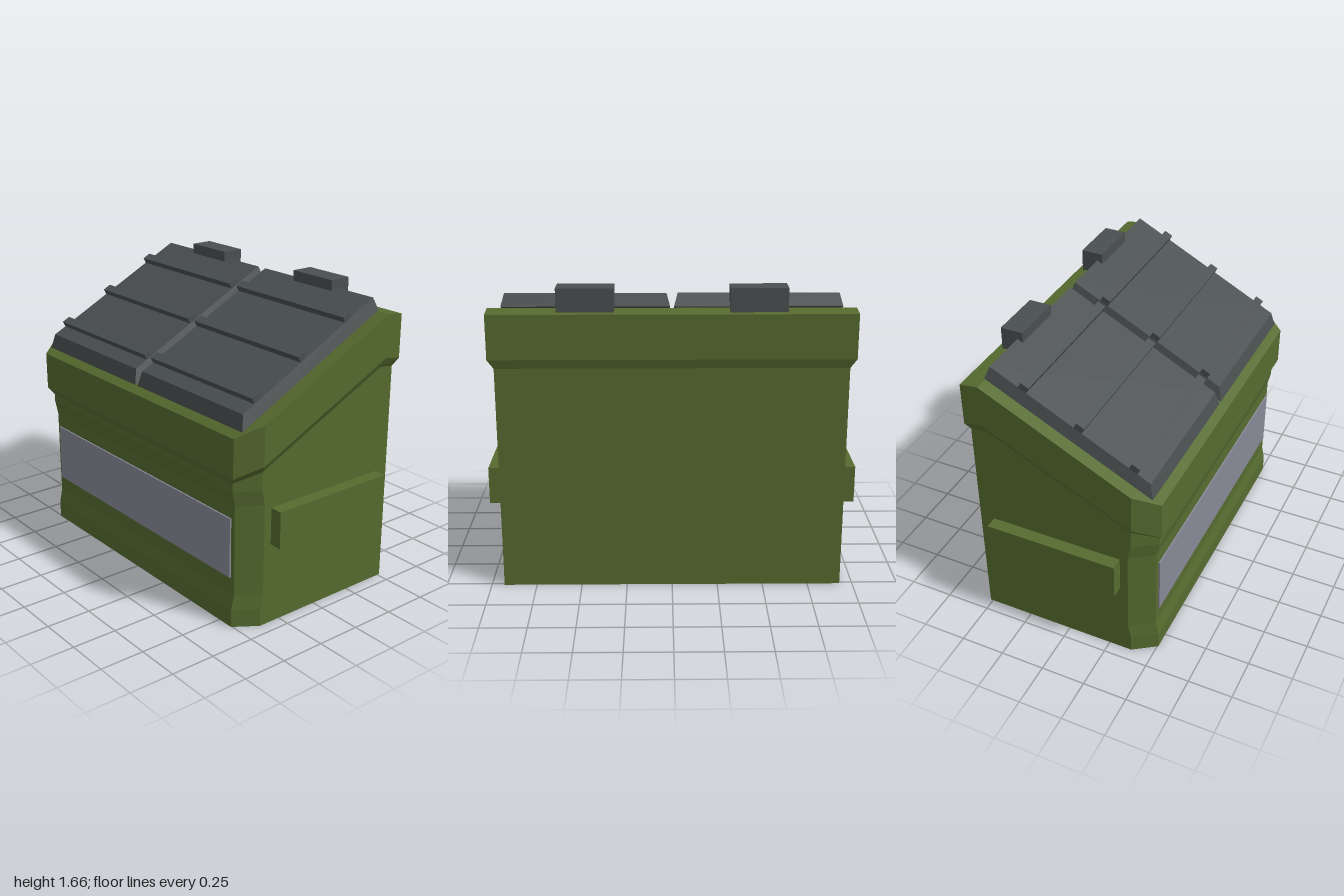
import * as THREE from 'three';

const green = new THREE.MeshStandardMaterial({ name: 'olive paint', color: 0x556b2f });
const grey = new THREE.MeshStandardMaterial({ name: 'dark grey plastic', color: 0x4a4f50 });
const panel = new THREE.MeshStandardMaterial({ name: 'pale grey panel', color: 0x868896 });

// Closed flat-shaded solid through rings of points, each counter-clockwise from above
function loft(rings) {
  const pos = [];
  const quad = (a, b, c, d) => [a, b, c, a, c, d].forEach(p => pos.push(...p));
  const n = rings[0].length;
  for (let r = 0; r < rings.length - 1; r++) {
    const lo = rings[r], hi = rings[r + 1];
    for (let i = 0; i < n; i++) {
      const j = (i + 1) % n;
      quad(lo[i], lo[j], hi[j], hi[i]);
    }
  }
  // Caps as strips running from front to back
  const bottom = rings[0], top = rings[rings.length - 1];
  for (let i = 0; i < n / 2 - 1; i++) {
    quad(top[i], top[i + 1], top[n - 2 - i], top[n - 1 - i]);
    quad(bottom[n - 1 - i], bottom[n - 2 - i], bottom[i + 1], bottom[i]);
  }
  const g = new THREE.BufferGeometry();
  g.setAttribute('position', new THREE.Float32BufferAttribute(pos, 3));
  g.computeVertexNormals();
  return g;
}

// Mirrored ring from its +x half, listed front to back as [x, y, z]
const mirrorRing = half => [...half, ...half.map(([x, y, z]) => [-x, y, z]).reverse()];

// Level ring of the body with chamfered front corners
const levelRing = (y, zFront) => mirrorRing([
  [0.845, y, zFront], [0.93, y, zFront - 0.125], [0.93, y, -0.43], [0.93, y, -0.515],
]);

// Sloping ring that rises from the front to a kink near the back
function slopeRing(front, side, zFront, zCorner, zBack, yFront, yKink, yBack) {
  const yCorner = yFront + (yKink - yFront) * (zFront - zCorner) / (zFront + 0.43);
  return mirrorRing([
    [front, yFront, zFront], [side, yCorner, zCorner], [side, yKink, -0.43], [side, yBack, zBack],
  ]);
}

export function createModel() {
  const model = new THREE.Group();
  model.name = 'dumpster';
  const add = (name, geometry, material, x = 0, y = 0, z = 0) => {
    const mesh = new THREE.Mesh(geometry, material);
    mesh.name = name;
    mesh.position.set(x, y, z);
    model.add(mesh);
    return mesh;
  };

  // Body with recessed front and overhanging sloped rim
  add('body', loft([
    levelRing(0, 0.505), levelRing(0.1, 0.505), levelRing(0.18, 0.488),
    levelRing(0.69, 0.488), levelRing(0.77, 0.505),
    slopeRing(0.845, 0.93, 0.505, 0.38, -0.515, 0.815, 1.255, 1.245),
    slopeRing(0.88, 0.963, 0.53, 0.4, -0.53, 0.855, 1.312, 1.295),
    slopeRing(0.88, 0.963, 0.53, 0.4, -0.53, 1.07, 1.548, 1.535),
  ]), green);

  // Front panel plate
  add('frontPanel', new THREE.BoxGeometry(1.64, 0.335, 0.009), panel, 0, 0.443, 0.4935);

  const slope = Math.atan2(0.44, 0.87);
  for (const [side, s] of [['left', 1], ['right', -1]]) {
    // Lifting pocket on the side wall
    add(side + 'SidePocket', new THREE.BoxGeometry(0.08, 0.205, 0.75), green, s * 0.96, 0.558, -0.057);

    // Tapered lid
    const cx = s * 0.451;
    const lidRing = (w, yf, zf, yb, zb) => [[w, yf, zf], [w, yb, zb], [-w, yb, zb], [-w, yf, zf]];
    add(side + 'Lid', loft([
      lidRing(0.441, 1.097, 0.485, 1.555, -0.43),
      lidRing(0.422, 1.18, 0.465, 1.622, -0.405),
    ]), grey, cx);

    // Raised ribs across the lid
    for (const z of [0.37, 0.07, -0.23]) {
      const y = 1.18 + (0.465 - z) * 0.507;
      const rib = add(side + 'LidRib', new THREE.BoxGeometry(0.844, 0.07, 0.05), grey, cx, y, z);
      rib.rotation.x = slope;
    }

    // Hinge block
    add(side + 'Hinge', new THREE.BoxGeometry(0.3, 0.13, 0.125), grey, s * 0.45, 1.6, -0.437);
  }
  return model;
}
